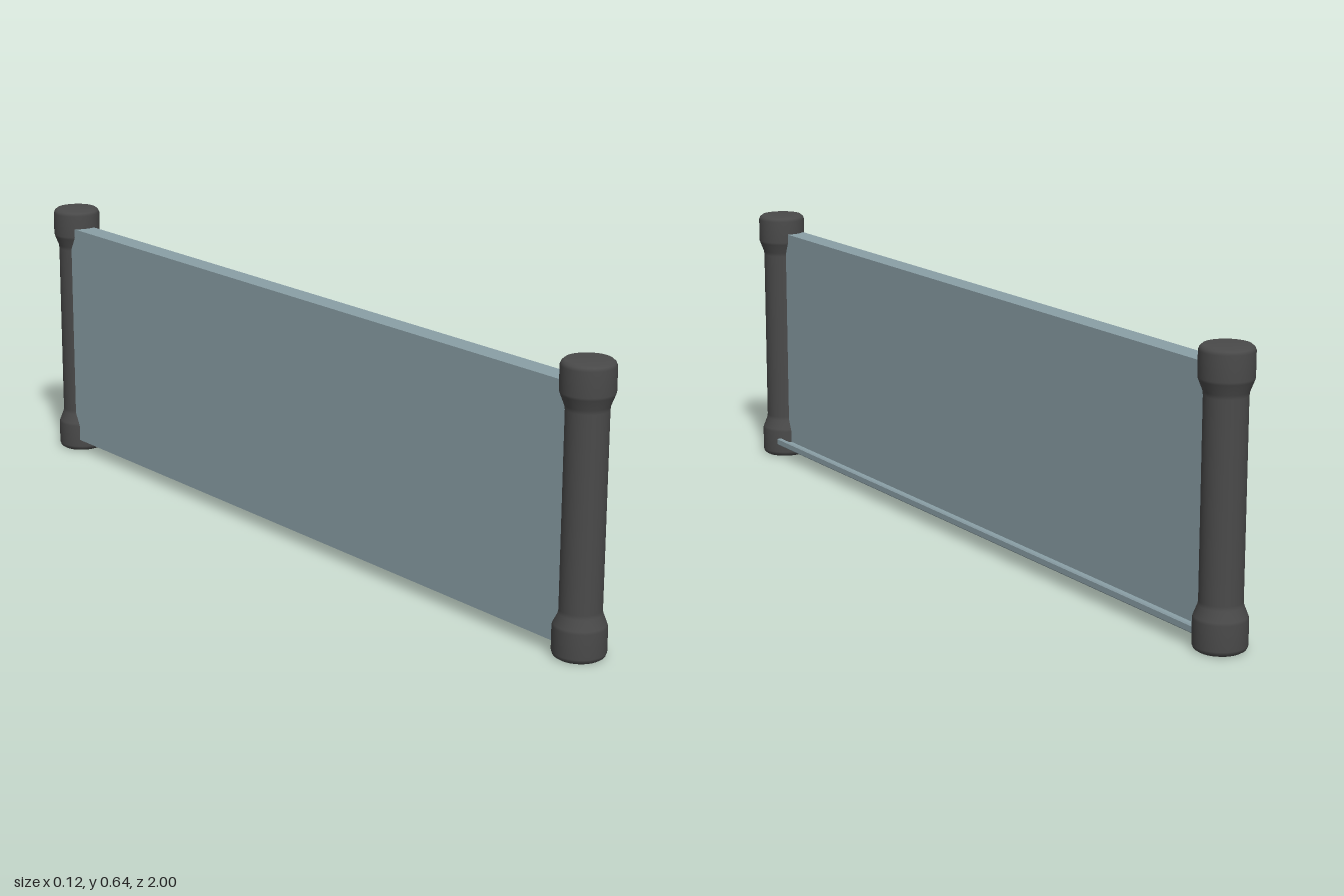
import * as THREE from 'three';

const paint = (color) => new THREE.MeshStandardMaterial({ color });

export function createModel() {
  const group = new THREE.Group();
  const postMat = paint(0x4a4a4a);
  const panelMat = paint(0x8a9fa6);

  // End posts: round column with flared caps and a small socket underneath
  const profile = [
    [0, 0.008], [0.012, 0.008], [0.014, 0.001], [0.050, 0], [0.056, 0.004],
    [0.059, 0.012], [0.059, 0.068], [0.057, 0.074], [0.048, 0.097], [0.047, 0.106],
    [0.047, 0.54], [0.048, 0.549], [0.057, 0.572], [0.059, 0.578],
    [0.059, 0.633], [0.056, 0.640], [0.050, 0.645], [0, 0.645],
  ].map(([r, y]) => new THREE.Vector2(r, y));
  const postGeo = new THREE.LatheGeometry(profile, 32);
  [['frontPost', 0, 0.941], ['backPost', -0.003, -0.941]].forEach(([name, x, z]) => {
    const post = new THREE.Mesh(postGeo, postMat);
    post.name = name;
    post.position.set(x, 0, z);
    group.add(post);
  });

  // Flat panel between the posts
  const panel = new THREE.Mesh(new THREE.BoxGeometry(0.053, 0.57, 1.87), panelMat);
  panel.name = 'panel';
  panel.position.set(-0.0135, 0.315, 0);
  group.add(panel);

  // Shallow tray with a raised lip along the foot of the panel
  const section = new THREE.Shape([
    [0.010, 0.030], [0.040, 0.030], [0.045, 0.034], [0.045, 0.047], [0.042, 0.050],
    [0.038, 0.050], [0.036, 0.040], [0.010, 0.040],
  ].map(([x, y]) => new THREE.Vector2(x, y)));
  const trayGeo = new THREE.ExtrudeGeometry(section, { depth: 1.82, bevelEnabled: false });
  trayGeo.translate(0, 0, -0.91);
  const tray = new THREE.Mesh(trayGeo, panelMat);
  tray.name = 'tray';
  group.add(tray);

  return group;
}
